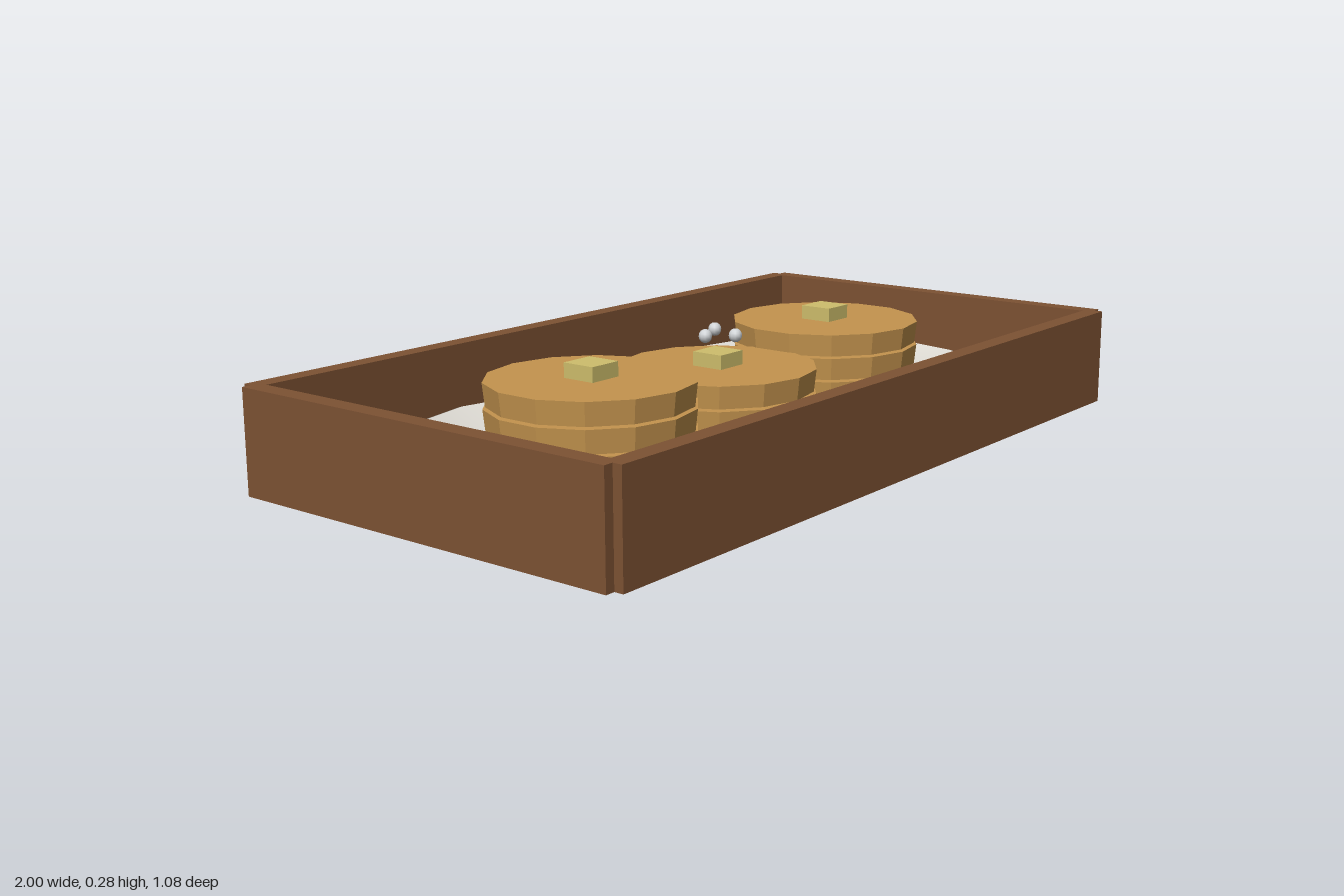
import * as THREE from 'three';

const wood = new THREE.MeshStandardMaterial({ color: 0x7d5233, name: 'wood' });
const china = new THREE.MeshStandardMaterial({ color: 0xdedbd4, name: 'china', side: THREE.DoubleSide });
const batter = new THREE.MeshStandardMaterial({ color: 0xc4944e, name: 'pancake' });
const butterYellow = new THREE.MeshStandardMaterial({ color: 0xcebe6c, name: 'butter' });
const silver = new THREE.MeshStandardMaterial({ color: 0xd0d3d6, name: 'silver' });

function add(parent, name, geometry, material, x, y, z) {
  const mesh = new THREE.Mesh(geometry, material);
  mesh.name = name;
  mesh.position.set(x, y, z);
  parent.add(mesh);
  return mesh;
}

// Shallow dish: underside, rim, then inside back to the middle
const plateGeometry = new THREE.LatheGeometry(
  [[0, 0], [0.3, 0], [0.41, 0.05], [0.423, 0.062], [0.41, 0.066], [0.3, 0.017], [0, 0.014]]
    .map(([r, y]) => new THREE.Vector2(r, y)), 16);
// Faceted sides with flat caps
const pancakeGeometry = new THREE.CylinderGeometry(0.242, 0.236, 0.055, 14).toNonIndexed();
pancakeGeometry.computeVertexNormals();
const butterGeometry = new THREE.BoxGeometry(0.085, 0.035, 0.085);
const ballGeometry = new THREE.SphereGeometry(0.018, 10, 8);

function createServing(x, y) {
  const serving = new THREE.Group();
  serving.name = 'serving';
  serving.position.set(x, y, 0);
  add(serving, 'plate', plateGeometry, china, 0, 0, 0);
  for (let i = 0; i < 3; i++) {
    add(serving, 'pancake', pancakeGeometry, batter, 0, 0.0445 + i * 0.06, 0);
  }
  add(serving, 'butter', butterGeometry, butterYellow, 0, 0.2095, 0);
  return serving;
}

export function createModel() {
  const model = new THREE.Group();
  model.name = 'pancakeTray';

  // Tray: floor and four walls with notched corners
  const tray = new THREE.Group();
  tray.name = 'tray';
  add(tray, 'trayFloor', new THREE.BoxGeometry(1.95, 0.04, 1.03), wood, 0, 0.02, 0);
  for (const s of [-1, 1]) {
    add(tray, 'longWall', new THREE.BoxGeometry(1.954, 0.245, 0.046), wood, 0, 0.1225, s * 0.517);
    add(tray, 'endWall', new THREE.BoxGeometry(0.046, 0.245, 1.036), wood, s * 0.977, 0.1225, 0);
  }
  model.add(tray);

  // Outer servings rest on the floor, the middle one is sunk lower
  model.add(createServing(-0.457, 0.05), createServing(0, 0.001), createServing(0.457, 0.05));

  // Loose beads around the middle stack
  for (const [x, y, z] of [[0.18, 0.215, -0.18], [0.29, 0.21, -0.235], [0.235, 0.215, -0.125], [-0.2, 0.21, 0.055]]) {
    add(model, 'bead', ballGeometry, silver, x, y, z);
  }
  return model;
}
